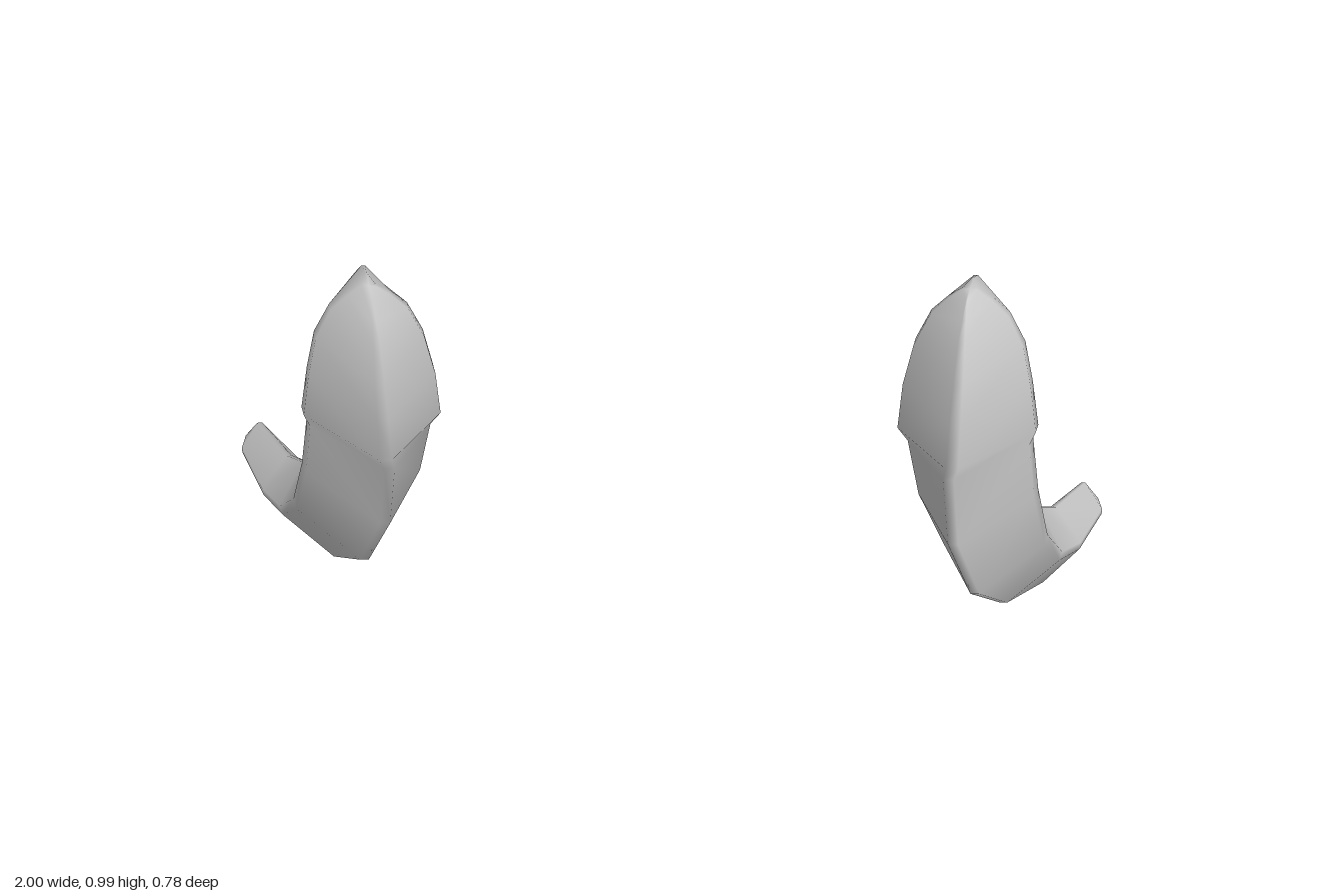
import * as THREE from 'three';

// Cross-sections from top to tip: front ridge z, y, x, back ridge z, y, x, half width
const SECTIONS = [
  [0.25, 1.0, 0.62, 0.165, 1.0, 0.635, 0.015],
  [0.29, 0.975, 0.615, 0.1, 0.965, 0.645, 0.045],
  [0.33, 0.945, 0.61, 0.045, 0.91, 0.655, 0.082],
  [0.365, 0.87, 0.607, 0.033, 0.855, 0.663, 0.115],
  [0.38, 0.78, 0.605, 0.035, 0.76, 0.668, 0.135],
  [0.378, 0.67, 0.605, 0.05, 0.66, 0.68, 0.147],
  [0.36, 0.63, 0.6, 0.06, 0.63, 0.7, 0.13],
  [0.33, 0.44, 0.62, 0.06, 0.53, 0.73, 0.125],
  [0.235, 0.235, 0.68, 0.02, 0.385, 0.765, 0.113],
  [0.08, 0.09, 0.755, -0.055, 0.265, 0.82, 0.095],
  [-0.1, 0.01, 0.85, -0.155, 0.19, 0.87, 0.077],
  [-0.275, 0.003, 0.945, -0.33, 0.13, 0.95, 0.05],
  [-0.34, 0.03, 0.975, -0.358, 0.1, 0.96, 0.024],
];
const BEVEL = 0.08;
const SIDES = 8;

// Diamond section with each corner slightly bevelled
function makeRing([fz, fy, fx, bz, by, bx, w]) {
  const front = new THREE.Vector3(fx, fy, fz);
  const back = new THREE.Vector3(bx, by, bz);
  const mid = front.clone().add(back).multiplyScalar(0.5);
  const right = mid.clone().setX(mid.x + w);
  const left = mid.clone().setX(mid.x - w);
  const corners = [front, right, back, left];
  const points = [];
  corners.forEach((c, i) => {
    for (const n of [corners[(i + 3) % 4], corners[(i + 1) % 4]]) {
      points.push(c.clone().lerp(n, BEVEL).sub(mid).multiplyScalar(1.05).add(mid));
    }
  });
  return { points, mid };
}

function hornGeometry() {
  const rings = SECTIONS.map(makeRing);
  const vertices = rings.flatMap((r) => r.points);
  const index = [];
  const last = (rings.length - 1) * SIDES;
  const topCentre = vertices.length;
  vertices.push(rings[0].mid, rings[rings.length - 1].mid);

  for (let j = 0; j < SIDES; j++) {
    const k = (j + 1) % SIDES;
    for (let i = 0; i < last; i += SIDES) {
      const a = i + j, b = i + k, c = a + SIDES, d = b + SIDES;
      index.push(a, c, b, b, c, d);
    }
    // End caps
    index.push(topCentre, j, k, topCentre + 1, last + k, last + j);
  }
  const geometry = new THREE.BufferGeometry().setFromPoints(vertices);
  geometry.setIndex(index);
  geometry.computeVertexNormals();
  return geometry;
}

// Mirrored horn, turned and tipped a little about its head
function mirroredHorn(source) {
  const geometry = source.clone();
  geometry.translate(-0.64, -0.7, -0.2);
  geometry.rotateX(0.13);
  geometry.rotateY(-0.09);
  geometry.translate(0.595, 0.69, 0.2);
  geometry.scale(-1, 1, 1);
  geometry.setIndex(Array.from(geometry.index.array).reverse());
  geometry.computeVertexNormals();
  return geometry;
}

export function createModel() {
  const group = new THREE.Group();
  group.name = 'hornPair';
  const grey = new THREE.MeshStandardMaterial({ color: 0xcccccc });
  grey.name = 'light grey';

  const leftHorn = new THREE.Mesh(hornGeometry(), grey);
  leftHorn.name = 'leftHorn';
  const rightHorn = new THREE.Mesh(mirroredHorn(leftHorn.geometry), grey);
  rightHorn.name = 'rightHorn';
  group.add(leftHorn, rightHorn);
  return group;
}
